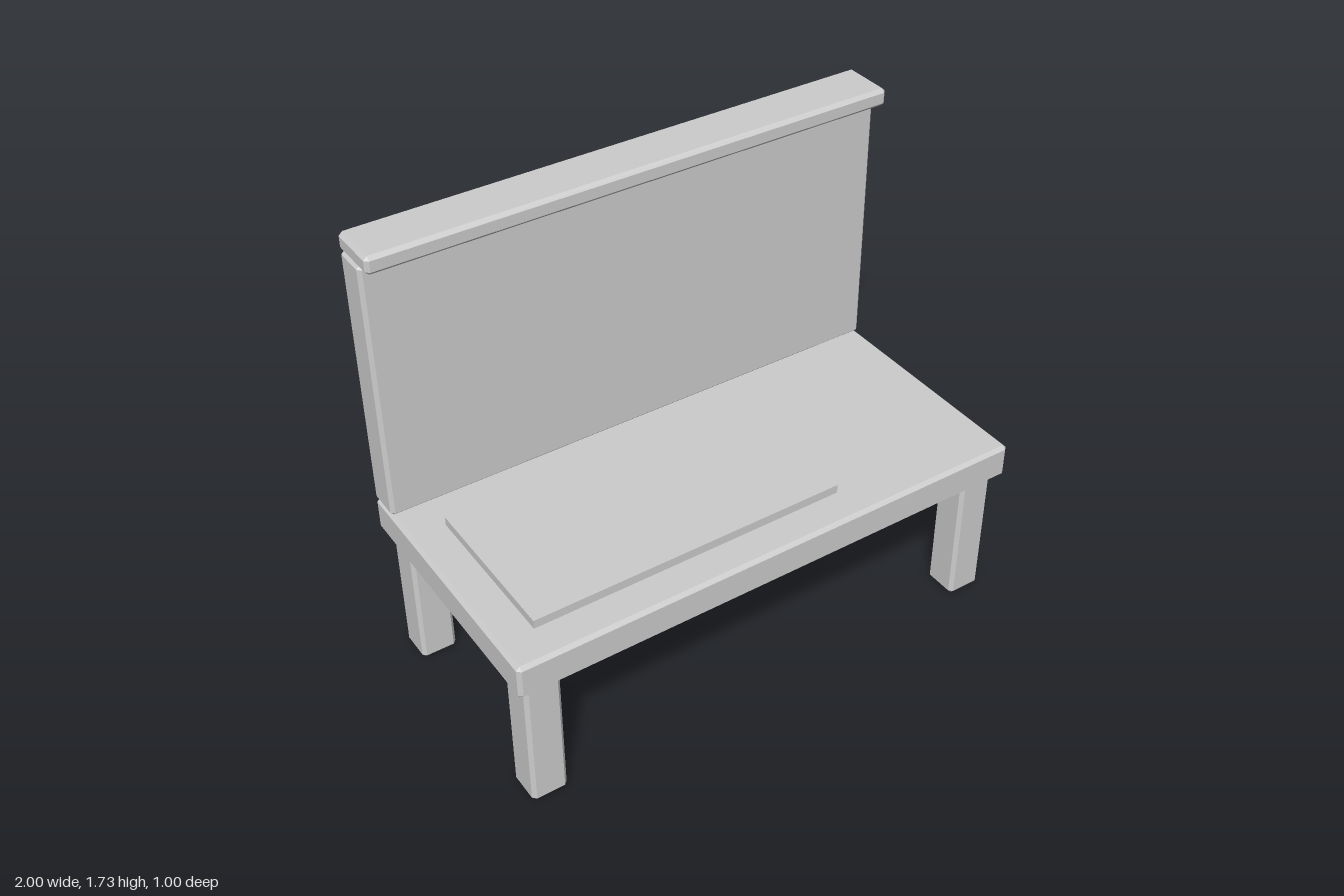
import * as THREE from 'three';
import { ConvexGeometry } from 'three/addons/geometries/ConvexGeometry.js';

const material = new THREE.MeshStandardMaterial({ color: 0xcccccc, flatShading: true });

// Box with every edge and corner chamfered by b
function chamferedBox(w, h, d, b) {
  const points = [];
  for (const sx of [-1, 1]) for (const sy of [-1, 1]) for (const sz of [-1, 1]) {
    const x = w / 2, y = h / 2, z = d / 2;
    points.push(
      new THREE.Vector3(sx * x, sy * (y - b), sz * (z - b)),
      new THREE.Vector3(sx * (x - b), sy * y, sz * (z - b)),
      new THREE.Vector3(sx * (x - b), sy * (y - b), sz * z)
    );
  }
  return new ConvexGeometry(points);
}

// Part given by its extents [min, max] along each axis
function addPart(group, name, [x0, x1], [y0, y1], [z0, z1], bevel = 0.0133) {
  const size = [x1 - x0, y1 - y0, z1 - z0];
  const geometry = bevel ? chamferedBox(...size, bevel) : new THREE.BoxGeometry(...size);
  const mesh = new THREE.Mesh(geometry, material);
  mesh.name = name;
  mesh.position.set((x0 + x1) / 2, (y0 + y1) / 2, (z0 + z1) / 2);
  group.add(mesh);
}

export function createModel() {
  const bench = new THREE.Group();
  bench.name = 'bench';

  // Four square legs
  for (const [side, x] of [['Left', 0.9], ['Right', -0.9]]) {
    for (const [end, z] of [['front', 0.4], ['back', -0.4]]) {
      addPart(bench, `${end}${side}Leg`,
        [x - 0.0667, x + 0.0667], [0, 0.54], [z - 0.0667, z + 0.0667]);
    }
  }

  // Seat slab, upright backrest and the cap rail overhanging its front
  addPart(bench, 'seat', [-1, 1], [0.5333, 0.6667], [-0.5, 0.5]);
  addPart(bench, 'backrest', [-1, 1], [0.6667, 1.6667], [-0.5, -0.3667]);
  addPart(bench, 'capRail', [-1, 1], [1.6667, 1.7333], [-0.5, -0.3]);

  // Thin sharp-edged pad lying off-centre on the seat
  addPart(bench, 'seatPad', [-0.8667, 0.3333], [0.66, 0.7], [-0.2333, 0.3667], 0);

  return bench;
}
